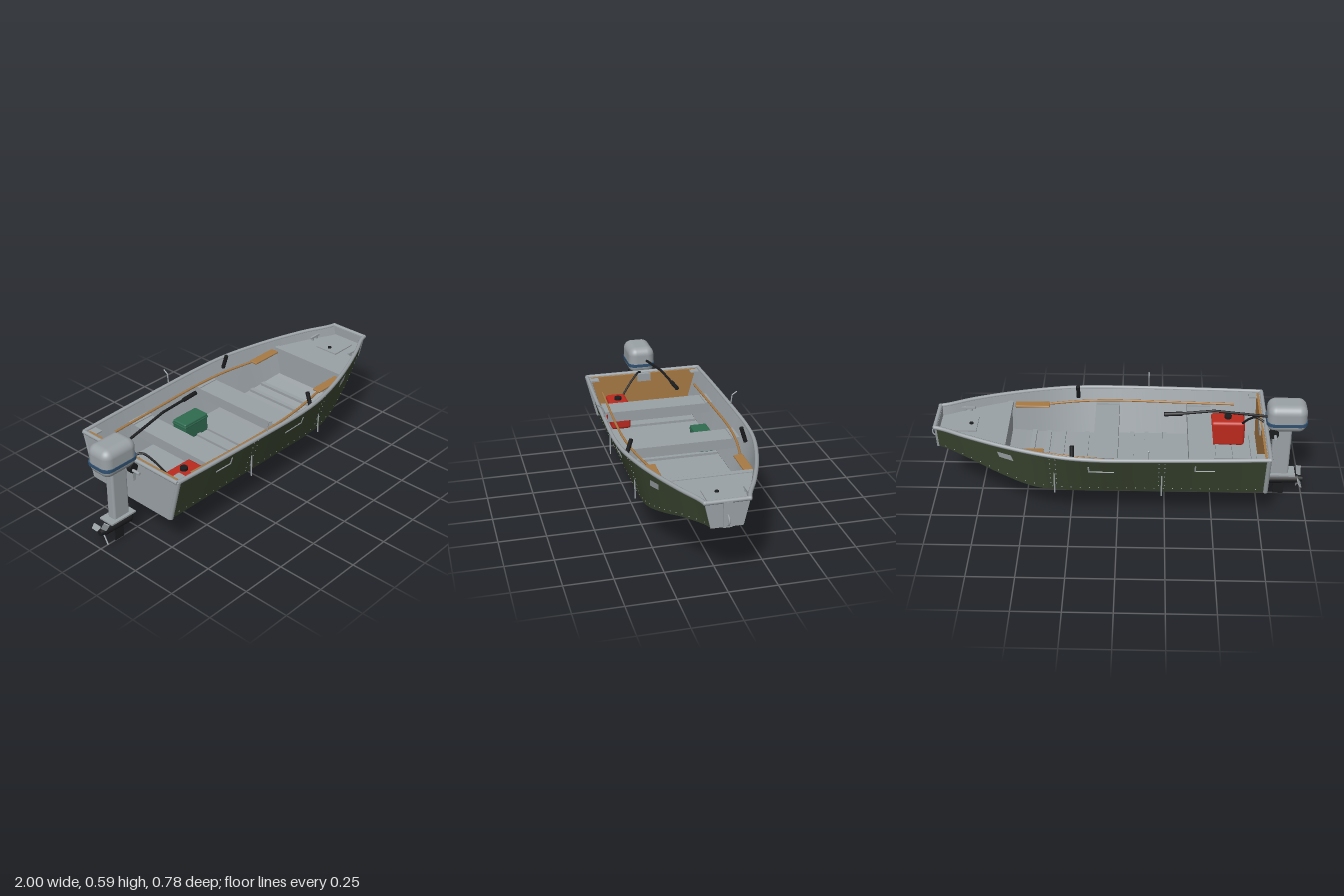
import * as THREE from 'three';

const { lerp, clamp } = THREE.MathUtils;
const V = (x, y, z) => new THREE.Vector3(x, y, z);

// Hull lines at evenly spaced stations, stern to bow
const STERN = -0.78, BOW = 0.96;
const LINES = {
  rimHalf: [0.335, 0.342, 0.348, 0.353, 0.357, 0.358, 0.345, 0.307, 0.253, 0.185, 0.108],
  rimY: [0.445, 0.445, 0.445, 0.445, 0.445, 0.445, 0.448, 0.453, 0.459, 0.465, 0.467],
  chineHalf: [0.272, 0.272, 0.272, 0.272, 0.272, 0.272, 0.272, 0.26, 0.215, 0.155, 0.077],
  chineY: [0.196, 0.196, 0.196, 0.196, 0.196, 0.196, 0.196, 0.208, 0.253, 0.308, 0.333],
};

function line(name, x) {
  const a = LINES[name], n = a.length - 1;
  const u = clamp((x - STERN) / (BOW - STERN), 0, 1) * n;
  const i = Math.min(Math.floor(u), n - 1), t = u - i;
  const p0 = a[Math.max(i - 1, 0)], p1 = a[i], p2 = a[i + 1], p3 = a[Math.min(i + 2, n)];
  const m1 = (p2 - p0) / 2, m2 = (p3 - p1) / 2;
  return (2 * t ** 3 - 3 * t * t + 1) * p1 + (t ** 3 - 2 * t * t + t) * m1
    + (3 * t * t - 2 * t ** 3) * p2 + (t ** 3 - t * t) * m2;
}

// Point on the hull side: f = 0 at the chine, 1 at the rim; s = side
function hullPoint(x, f, s, inset = 0) {
  return V(x, lerp(line('chineY', x) + inset, line('rimY', x), f),
    s * (lerp(line('chineHalf', x), line('rimHalf', x), f) - inset));
}

// Half width inside the hull at a height
function innerHalf(x, y) {
  const f = (y - line('chineY', x)) / (line('rimY', x) - line('chineY', x));
  return lerp(line('chineHalf', x), line('rimHalf', x), f) - 0.012;
}

// Surface through equal rows of points
function loft(rows) {
  const pos = rows.flat().flatMap(p => [p.x, p.y, p.z]), idx = [], c = rows[0].length;
  for (let i = 0; i < rows.length - 1; i++) for (let j = 0; j < c - 1; j++) {
    const a = i * c + j, b = a + c;
    idx.push(a, b, a + 1, b, b + 1, a + 1);
  }
  const g = new THREE.BufferGeometry();
  g.setAttribute('position', new THREE.Float32BufferAttribute(pos, 3));
  g.setIndex(idx);
  g.computeVertexNormals();
  return g;
}

// Box with rounded edges: each vertex is pushed onto a sphere at its corner
function roundedBox(w, h, d, r, n) {
  const seg = 2 * n + 1, g = new THREE.BoxGeometry(1, 1, 1, seg, seg, seg);
  const half = [w / 2 - r, h / 2 - r, d / 2 - r], pos = g.attributes.position, p = V(0, 0, 0);
  for (let i = 0; i < pos.count; i++) {
    const sign = p.fromBufferAttribute(pos, i).toArray().map(Math.sign);
    const q = p.toArray().map((v, k) => sign[k] * Math.max(Math.abs(v) - 0.5 / seg, 0));
    p.fromArray(q).normalize();
    g.attributes.normal.setXYZ(i, p.x, p.y, p.z);
    pos.setXYZ(i, ...p.toArray().map((v, k) => sign[k] * half[k] + v * r));
  }
  return g;
}

const stations = (a, b, n) => Array.from({ length: n + 1 }, (_, i) => lerp(a, b, i / n));

export function createModel() {
  const model = new THREE.Group();
  const mat = (name, color, side = THREE.FrontSide) => {
    const m = new THREE.MeshStandardMaterial({ color, side });
    m.name = name;
    return m;
  };
  const green = mat('hull green', 0x3a4530, THREE.DoubleSide);
  const grey = mat('aluminium grey', 0x9aa1a5, THREE.DoubleSide);
  const wood = mat('wood', 0xa87a45);
  const black = mat('black', 0x1b1c1e);
  const red = mat('tank red', 0xbb2a1e);
  const boxGreen = mat('box green', 0x2f6b50);
  const blue = mat('band blue', 0x2f5070);

  const add = (name, geo, material, x = 0, y = 0, z = 0) => {
    const m = new THREE.Mesh(geo, material);
    m.name = name;
    m.position.set(x, y, z);
    model.add(m);
    return m;
  };
  // Box given by its limits
  const box = (name, material, x0, x1, y0, y1, z0, z1) =>
    add(name, new THREE.BoxGeometry(x1 - x0, y1 - y0, z1 - z0), material, (x0 + x1) / 2, (y0 + y1) / 2, (z0 + z1) / 2);
  const rod = (name, material, a, b, r, r2 = r) => {
    const m = add(name, new THREE.CylinderGeometry(r2, r, a.distanceTo(b), 14), material);
    m.position.copy(a).lerp(b, 0.5);
    m.quaternion.setFromUnitVectors(V(0, 1, 0), b.clone().sub(a).normalize());
  };
  const tube = (name, material, pts, r, n = 24) =>
    add(name, new THREE.TubeGeometry(new THREE.CatmullRomCurve3(pts), n, r, 8), material);

  // Hull skins: painted outside, bare metal inside
  const outer = stations(STERN, BOW, 48), inner = stations(STERN + 0.014, BOW - 0.012, 48);
  add('hullBottom', loft(outer.map(x => [hullPoint(x, 0, 1), hullPoint(x, 0, -1)])), green);
  add('floor', loft(inner.map(x => [hullPoint(x, 0, -1, 0.012), hullPoint(x, 0, 1, 0.012)])), grey);
  for (const s of [1, -1]) {
    const order = a => (s > 0 ? a : a.reverse());
    add('hullSide', loft(outer.map(x => order([hullPoint(x, 0, s), hullPoint(x, 1, s)]))), green);
    add('innerSide', loft(inner.map(x => order([hullPoint(x, 1, s, 0.01), hullPoint(x, 0, s, 0.01)]))), grey);
  }

  // Transom, wooden lining and bow plate
  const panel = (name, x, depth, material, inset = 0) => {
    const p = [[0, -1], [0, 1], [1, 1], [1, -1]].map(([f, s]) => hullPoint(x, f, s, inset));
    const shape = new THREE.Shape(p.map(q => new THREE.Vector2(-q.z, q.y)));
    add(name, new THREE.ExtrudeGeometry(shape, { depth, bevelEnabled: false }).rotateY(Math.PI / 2), material, x);
  };
  panel('transom', STERN - 0.002, 0.016, grey);
  panel('transomLining', STERN + 0.015, 0.012, wood, 0.02);
  panel('bowPlate', BOW - 0.012, 0.014, grey);
  box('bowBar', grey, 0.96, 0.972, 0.333, 0.465, -0.022, 0.022);
  add('bowRing', new THREE.TorusGeometry(0.026, 0.004, 8, 24), grey, 0.97, 0.373, 0);

  // Rim rail all round
  for (const s of [1, -1]) {
    tube('gunwale', grey, outer.map(x => hullPoint(x, 1, s)), 0.011, 60);
    rod('sternPost', grey, hullPoint(STERN + 0.008, 0.03, s), hullPoint(STERN + 0.008, 1, s), 0.012);
    add('railCorner', new THREE.SphereGeometry(0.012, 12, 8), grey).position.copy(hullPoint(BOW, 1, s));
    box('sternCorner', grey, -0.775, -0.71, 0.435, 0.443, s * 0.3 - 0.025, s * 0.3 + 0.025);
  }
  for (const x of [STERN, BOW]) rod('endRail', grey, hullPoint(x, 1, -1), hullPoint(x, 1, 1), 0.011);

  // Floor ribs and benches
  for (const x of [-0.73, -0.63, -0.54, -0.25, -0.15, -0.07, 0.18, 0.31, 0.39, 0.47]) {
    const y = line('chineY', x) + 0.01, h = line('chineHalf', x) - 0.02;
    box('floorRib', grey, x - 0.012, x + 0.012, y, y + 0.016, -h, h);
  }
  for (const x of [-0.5, 0]) {
    const h = innerHalf(x, 0.36);
    box('benchTop', grey, x, x + 0.13, 0.372, 0.382, -h, h);
    for (const e of [x, x + 0.122]) box('benchFlange', grey, e, e + 0.008, 0.325, 0.372, -h + 0.015, h - 0.015);
    for (const s of [1, -1]) box('benchBracket', grey, x, x + 0.13, 0.382, 0.387, s * (h - 0.02) - 0.02, s * (h - 0.02) + 0.02);
  }

  // Bow deck with hatch and cleats
  const deckY = 0.418;
  add('bowDeck', loft(stations(0.59, 0.95, 14).map(x => [-1, 1].map(s => V(x, deckY, s * innerHalf(x, deckY))))), grey);
  const dh = innerHalf(0.59, deckY);
  add('deckFront', loft([[V(0.59, 0.25, -0.2), V(0.59, 0.25, 0.2)], [V(0.59, deckY, -dh), V(0.59, deckY, dh)]]), grey);
  box('deckLip', grey, 0.583, 0.612, deckY - 0.02, deckY + 0.004, -dh, dh);
  box('hatch', grey, 0.75, 0.9, deckY, deckY + 0.007, -0.07, 0.07);
  add('hatchKnob', new THREE.CylinderGeometry(0.01, 0.01, 0.008, 16), black, 0.783, deckY + 0.01, 0);
  for (const s of [1, -1]) {
    box('cleat', grey, 0.78, 0.855, deckY + 0.014, deckY + 0.024, s * 0.138 - 0.006, s * 0.138 + 0.006);
    for (const x of [0.8, 0.835]) box('cleatFoot', grey, x - 0.006, x + 0.006, deckY, deckY + 0.014, s * 0.138 - 0.005, s * 0.138 + 0.005);
  }

  // Side fittings, oars and rod rests, mirrored
  const rivet = new THREE.SphereGeometry(0.0032, 6, 4);
  for (const s of [1, -1]) {
    const stud = (x, f) => add('rivet', rivet, grey).position.copy(hullPoint(x, f, s));
    for (let x = -0.72; x < 0.92; x += 0.048) stud(x, 0.1);
    for (const x of [-0.245, -0.215, 0.315, 0.345]) for (let f = 0.2; f < 0.95; f += 0.14) stud(x, f);

    rod('sideSpline', grey, V(-0.23, 0.198, s * 0.312), V(-0.23, 0.325, s * 0.312), 0.004);
    rod('sideSpline', grey, V(0.325, 0.198, s * 0.297), V(0.325, 0.325, s * 0.297), 0.004);
    for (const [x, f, len] of [[-0.45, 0.67, 0.1], [0.08, 0.62, 0.13]]) {
      rod('sideHandle', grey, hullPoint(x - len / 2, f, s), hullPoint(x + len / 2, f, s), 0.004);
      rod('handleEnd', grey, hullPoint(x + len / 2, f, s), hullPoint(x + len / 2, f + 0.16, s), 0.004);
    }
    // Plain plate near the bow
    const plate = [0.535, 0.61].map(x => [hullPoint(x, 0.62, s, -0.003), hullPoint(x + 0.012, 0.78, s, -0.003)]);
    add('sidePlate', loft(plate), grey);

    rod('oarlock', black, V(0.23, 0.405, s * 0.318), V(0.23, 0.487, s * 0.292), 0.011);
    rod('rodRest', grey, V(-0.16, 0.44, s * 0.353), V(-0.16, 0.508, s * 0.361), 0.0035);
    rod('rodRestTip', grey, V(-0.16, 0.508, s * 0.361), V(-0.16, 0.526, s * 0.388), 0.0035);

    tube('oarShaft', wood, [V(-0.63, 0.398, s * 0.272), V(-0.3, 0.398, s * 0.285), V(0, 0.402, s * 0.29),
      V(0.2, 0.405, s * 0.275), V(0.42, 0.405, s * 0.235)], 0.0065);
    add('oarBlade', roundedBox(0.19, 0.012, 0.05, 0.005, 2), wood, 0.477, 0.405, s * 0.23);
  }

  // Fuel tank, hose and tackle box
  add('fuelTank', roundedBox(0.185, 0.15, 0.112, 0.018, 3), red, -0.594, 0.288, 0.19);
  add('tankCap', new THREE.CylinderGeometry(0.02, 0.02, 0.016, 20), black, -0.594, 0.37, 0.19);
  tube('fuelHose', black, [V(-0.79, 0.44, 0.01), V(-0.735, 0.46, 0.04), V(-0.7, 0.42, 0.09), V(-0.67, 0.355, 0.145)], 0.006);
  add('tackleBox', roundedBox(0.172, 0.105, 0.095, 0.008, 2), boxGreen, -0.163, 0.262, -0.192);
  add('tackleBoxLid', roundedBox(0.176, 0.012, 0.099, 0.004, 2), boxGreen, -0.163, 0.295, -0.192);

  // Outboard motor: cowl, band, leg and clamp
  add('cowl', roundedBox(0.208, 0.155, 0.15, 0.045, 6), grey, -0.886, 0.508, 0);
  const hx = 0.108, hz = 0.078, r = 0.04, band = new THREE.Shape();
  [[1, 1], [-1, 1], [-1, -1], [1, -1]].forEach(([a, b], i) =>
    band.absarc(a * (hx - r), b * (hz - r), r, i * Math.PI / 2, (i + 1) * Math.PI / 2));
  add('cowlBand', new THREE.ExtrudeGeometry(band, { depth: 0.017, bevelEnabled: false }).rotateX(-Math.PI / 2), blue, -0.886, 0.474, 0);
  add('leg', roundedBox(0.1, 0.32, 0.052, 0.012, 3), grey, -0.869, 0.29, 0);
  box('clampBracket', grey, -0.83, -0.745, 0.4, 0.445, -0.04, 0.04);
  box('clampPlate', grey, -0.8, -0.782, 0.33, 0.44, -0.045, 0.045);
  rod('clampBar', grey, V(-0.825, 0.42, -0.122), V(-0.825, 0.42, 0.122), 0.008);
  for (const s of [1, -1]) rod('clampKnob', black, V(-0.818, 0.428, s * 0.05), V(-0.818, 0.428, s * 0.075), 0.026);
  box('waterPlate', grey, -0.955, -0.795, 0.139, 0.148, -0.045, 0.045);

  // Gearcase, skeg and propeller
  box('lowerLeg', black, -0.905, -0.835, 0.1, 0.14, -0.014, 0.014);
  rod('gearcase', black, V(-0.975, 0.098, 0), V(-0.805, 0.098, 0), 0.024, 0.028);
  add('gearcaseNose', new THREE.SphereGeometry(0.028, 18, 12), black, -0.812, 0.098, 0);
  box('skeg', black, -0.903, -0.845, 0, 0.09, -0.003, 0.003);
  rod('propellerHub', black, V(-1, 0.098, 0), V(-0.97, 0.098, 0), 0.016, 0.02);
  for (let i = 0; i < 3; i++) {
    const blade = new THREE.BoxGeometry(0.006, 0.052, 0.03).rotateY(0.6).translate(0, 0.044, 0);
    add('propellerBlade', blade.rotateX(-Math.PI / 2 + i * Math.PI * 2 / 3), grey, -0.98, 0.098, 0);
  }

  // Tiller arm and grip
  rod('tillerArm', black, V(-0.8, 0.508, -0.024), V(-0.5, 0.553, -0.045), 0.007);
  rod('tillerArm', black, V(-0.5, 0.553, -0.045), V(-0.32, 0.545, -0.064), 0.007);
  rod('tillerGrip', black, V(-0.335, 0.545, -0.063), V(-0.24, 0.544, -0.07), 0.011);

  return model;
}
